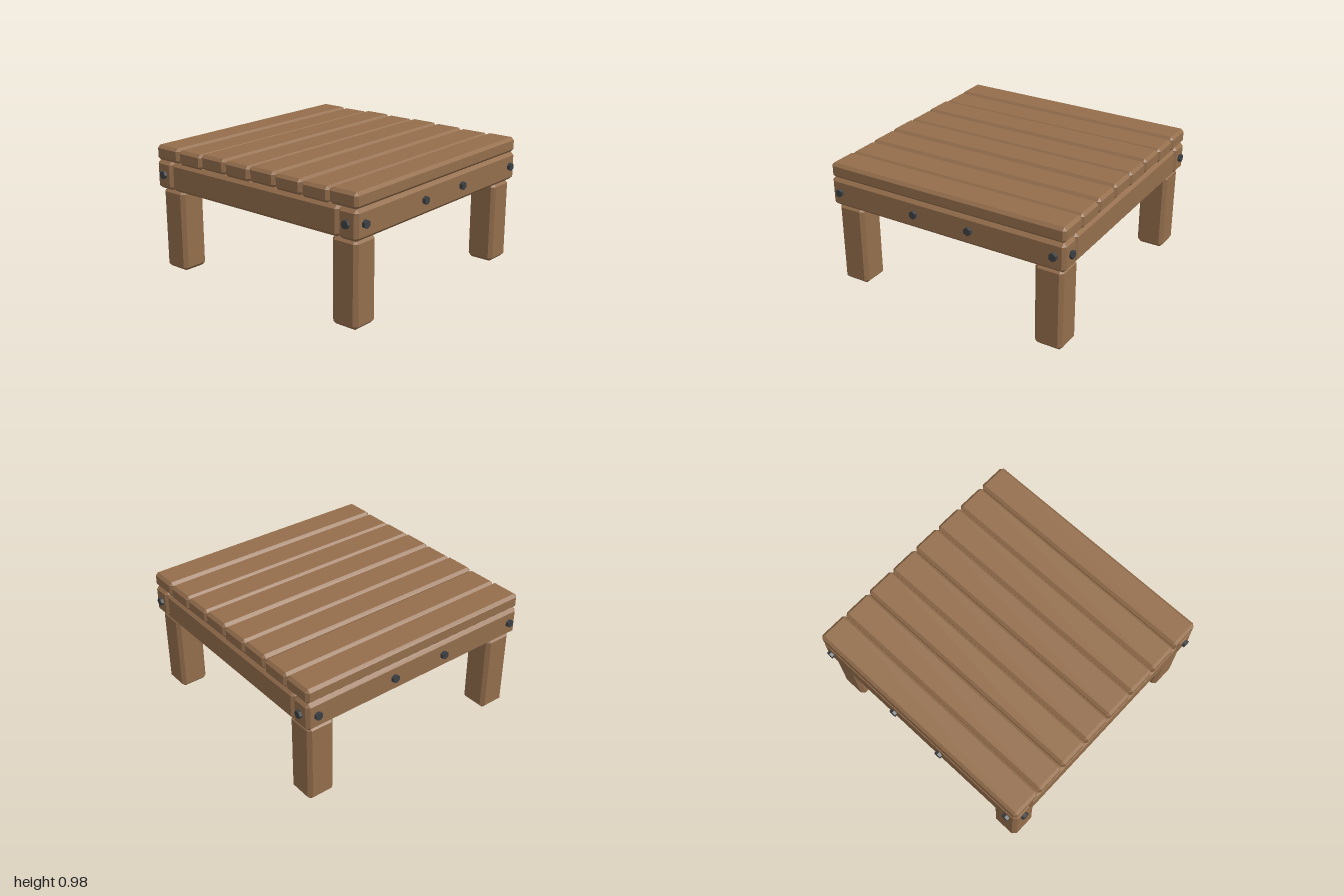
import * as THREE from 'three';
import { ConvexGeometry } from 'three/addons/geometries/ConvexGeometry.js';

// Box with flat chamfers on every edge: 24 corner points wrapped in a hull
function chamferBox(w, h, d, c) {
  const points = [];
  for (const x of [-1, 1]) for (const y of [-1, 1]) for (const z of [-1, 1]) {
    const X = w / 2, Y = h / 2, Z = d / 2;
    points.push(
      new THREE.Vector3(x * X, y * (Y - c), z * (Z - c)),
      new THREE.Vector3(x * (X - c), y * Y, z * (Z - c)),
      new THREE.Vector3(x * (X - c), y * (Y - c), z * Z)
    );
  }
  return new ConvexGeometry(points);
}

export function createModel() {
  const group = new THREE.Group();
  const wood = new THREE.MeshStandardMaterial({ color: 0x946e4c });
  wood.name = 'wood';
  const steel = new THREE.MeshStandardMaterial({ color: 0x3d4043 });
  steel.name = 'dark steel';

  const add = (name, geometry, material, x, y, z) => {
    const mesh = new THREE.Mesh(geometry, material);
    mesh.name = name;
    mesh.position.set(x, y, z);
    group.add(mesh);
    return mesh;
  };

  // Top planks, laid along x at slightly uneven heights
  const tops = [0.975, 0.97, 0.98, 0.975, 0.98, 0.975, 0.97, 0.975];
  const pitch = 0.2435;
  tops.forEach((top, i) => {
    const h = 0.115;
    add('plank', chamferBox(1.95, h, pitch - 0.003, 0.022), wood, 0, top - h / 2, (i - 3.5) * pitch);
  });

  // Frame: long rails front and back, shorter rails between them
  const longRail = chamferBox(1.955, 0.22, 0.165, 0.025);
  const sideRail = chamferBox(0.165, 0.22, 1.625, 0.025);
  for (const s of [-1, 1]) {
    add(s > 0 ? 'frontRail' : 'backRail', longRail, wood, 0, 0.75, s * 0.893);
    add(s > 0 ? 'leftRail' : 'rightRail', sideRail, wood, s * 0.893, 0.75, 0);
  }

  // Middle joist and the hanging centre post
  add('joist', new THREE.BoxGeometry(1.64, 0.21, 0.17), wood, 0, 0.752, 0);
  add('centrePost', new THREE.BoxGeometry(0.22, 0.42, 0.22), wood, 0, 0.46, 0);

  // Legs
  const leg = chamferBox(0.22, 0.64, 0.22, 0.027);
  for (const x of [-0.84, 0.84]) for (const z of [-0.84, 0.84]) add('leg', leg, wood, x, 0.32, z);

  // Hexagonal bolt heads on the rail faces and rail ends
  const bolt = new THREE.CylinderGeometry(0.031, 0.031, 0.05, 6).toNonIndexed();
  bolt.computeVertexNormals();
  for (const s of [-1, 1]) {
    for (const x of [-0.895, -0.23, 0.23, 0.895]) {
      add('bolt', bolt, steel, x, 0.755, s * 0.975).rotation.x = Math.PI / 2;
    }
    for (const z of [-0.89, 0.89]) {
      add('bolt', bolt, steel, s * 0.975, 0.755, z).rotation.z = Math.PI / 2;
    }
  }
  return group;
}
